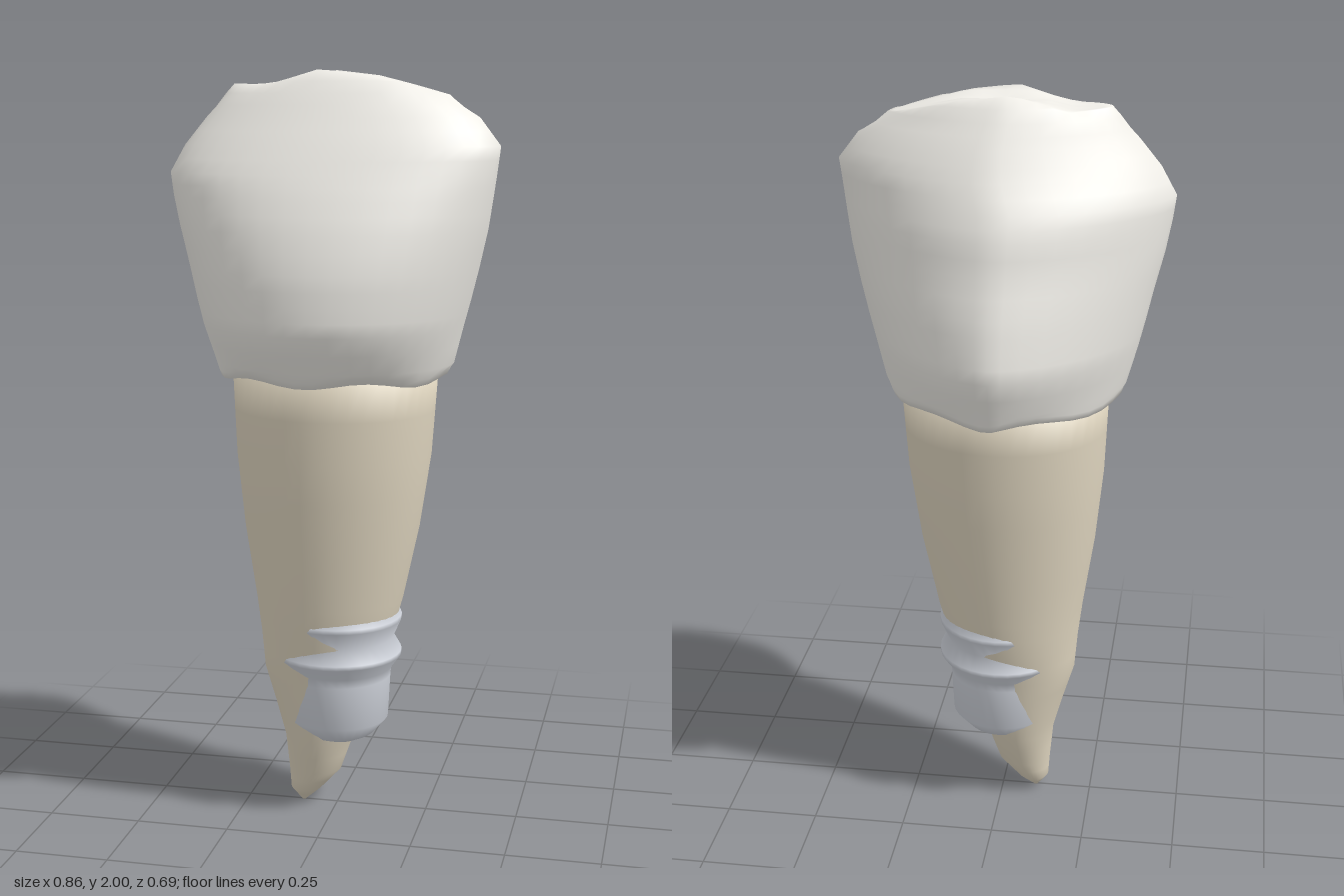
import * as THREE from 'three';

const SEG = 40;

// Smooth interpolation of all numeric columns through the given section rows
function refine(rows, steps) {
  const out = [];
  const n = rows.length - 1;
  for (let j = 0; j < n; j++) {
    for (let s = 0; s < steps; s++) {
      const t = s / steps;
      out.push(rows[j].map((v, k) => THREE.MathUtils.lerp(v, rows[j + 1][k], t)));
    }
  }
  out.push(rows[n]);
  return out;
}

// Skin over sections [y, xMin, xMax, zFront, zBack, zSide]; `back` is the
// roundness exponent of the rear half, `adjust` may shift the height of a point
function loft(rows, back, adjust) {
  const pos = [];
  const index = [];
  for (const [y, xl, xr, zf, zb, zs] of rows) {
    const cx = (xl + xr) / 2;
    const hw = (xr - xl) / 2;
    for (let i = 0; i < SEG; i++) {
      const a = (i / SEG) * Math.PI * 2;
      const e = 2 / (Math.sin(a) >= 0 ? 2 : back);
      const c = Math.sign(Math.cos(a)) * Math.abs(Math.cos(a)) ** e;
      const s = Math.abs(Math.sin(a)) ** e;
      const x = cx + hw * c;
      const z = zs + (Math.sin(a) >= 0 ? zf - zs : zb - zs) * s;
      pos.push(x, adjust ? adjust(x, y, a) : y, z);
    }
  }
  for (let j = 0; j < rows.length - 1; j++) {
    for (let i = 0; i < SEG; i++) {
      const a = j * SEG + i;
      const b = j * SEG + ((i + 1) % SEG);
      index.push(a, a + SEG, b, b, a + SEG, b + SEG);
    }
  }
  const g = new THREE.BufferGeometry();
  g.setAttribute('position', new THREE.Float32BufferAttribute(pos, 3));
  g.setIndex(index);
  g.computeVertexNormals();
  return g;
}

// Height of the uneven biting edge along x
const RIDGE = [[-0.44, 1.73], [-0.27, 1.965], [-0.17, 1.96], [-0.03, 2], [0.1, 1.985], [0.3, 1.935], [0.43, 1.81]];
function ridge(x) {
  for (let i = 1; i < RIDGE.length; i++) {
    const [x0, y0] = RIDGE[i - 1];
    const [x1, y1] = RIDGE[i];
    if (x <= x1) return THREE.MathUtils.mapLinear(x, x0, x1, y0, y1);
  }
  return 1.81;
}

function addMesh(group, name, geometry, color) {
  const material = new THREE.MeshStandardMaterial({ color });
  const mesh = new THREE.Mesh(geometry, material);
  mesh.name = name;
  group.add(mesh);
}

export function createModel() {
  const tooth = new THREE.Group();
  tooth.name = 'tooth';

  // Crown: flared body narrowing to a thin biting edge, closed underneath
  const crownRows = [
    [1.23, 0, 0, 0, 0, 0],
    [1.225, -0.27, 0.26, 0.235, -0.24, 0],
    [1.215, -0.31, 0.295, 0.255, -0.295, 0],
    [1.25, -0.322, 0.312, 0.288, -0.308, 0],
    [1.35, -0.35, 0.338, 0.343, -0.345, 0.01],
    [1.42, -0.367, 0.357, 0.343, -0.333, 0.015],
    [1.5, -0.385, 0.377, 0.337, -0.315, 0.02],
    [1.6, -0.41, 0.4, 0.31, -0.282, 0.03],
    [1.68, -0.425, 0.413, 0.276, -0.265, 0.04],
    [1.74, -0.433, 0.422, 0.245, -0.24, 0.045],
    [1.81, -0.395, 0.43, 0.205, -0.2, 0.04],
    [1.88, -0.34, 0.375, 0.16, -0.16, 0.03],
    [1.94, -0.292, 0.295, 0.122, -0.122, 0.015],
    [2.0, -0.25, 0.26, 0.08, -0.08, 0],
    [1.975, -0.12, 0.12, 0.035, -0.035, 0],
    [1.97, 0, 0, 0, 0, 0],
  ];
  const crown = loft(refine(crownRows, 2), 1.55, (x, y, a) => {
    if (y < 1.24) return y + 0.008 * Math.sin(6 * a + 1); // wavy gum line
    return y > 1.9 ? Math.min(y, ridge(x)) : y;
  });
  addMesh(tooth, 'crown', crown, 0xf0eee8);

  // Root: tapering and bending toward -x at the tip
  const rootRows = [
    [0, -0.1, -0.09, 0.005, -0.005, 0],
    [0.04, -0.13, -0.045, 0.045, -0.045, 0],
    [0.1, -0.134, 0.01, 0.068, -0.068, 0],
    [0.2, -0.143, 0.045, 0.1, -0.1, 0],
    [0.3, -0.17, 0.085, 0.122, -0.122, 0],
    [0.4, -0.2, 0.125, 0.141, -0.141, 0],
    [0.5, -0.208, 0.152, 0.163, -0.163, 0],
    [0.6, -0.22, 0.18, 0.182, -0.178, 0],
    [0.8, -0.25, 0.223, 0.212, -0.205, 0],
    [1.0, -0.27, 0.253, 0.236, -0.23, 0],
    [1.24, -0.28, 0.27, 0.246, -0.245, 0],
    [1.24, 0, 0, 0, 0, 0],
  ];
  addMesh(tooth, 'root', loft(refine(rootRows, 2), 2, null), 0xe0d6c0);

  // Implant: threaded post set in the root, breaking through near its rounded end
  const profile = [[0, 0.193], [0.06, 0.196], [0.1, 0.215], [0.14, 0.26], [0.146, 0.38], [0.15, 0.405]];
  for (let y = 0.44; y < 1.15; y += 0.1) {
    profile.push([0.176, y], [0.176, y + 0.012], [0.154, y + 0.05]);
  }
  profile.push([0.15, 1.2], [0, 1.2]);
  const implant = new THREE.LatheGeometry(profile.map(([r, y]) => new THREE.Vector2(r, y)), 32);
  addMesh(tooth, 'implant', implant, 0xd0d4dc);

  return tooth;
}
